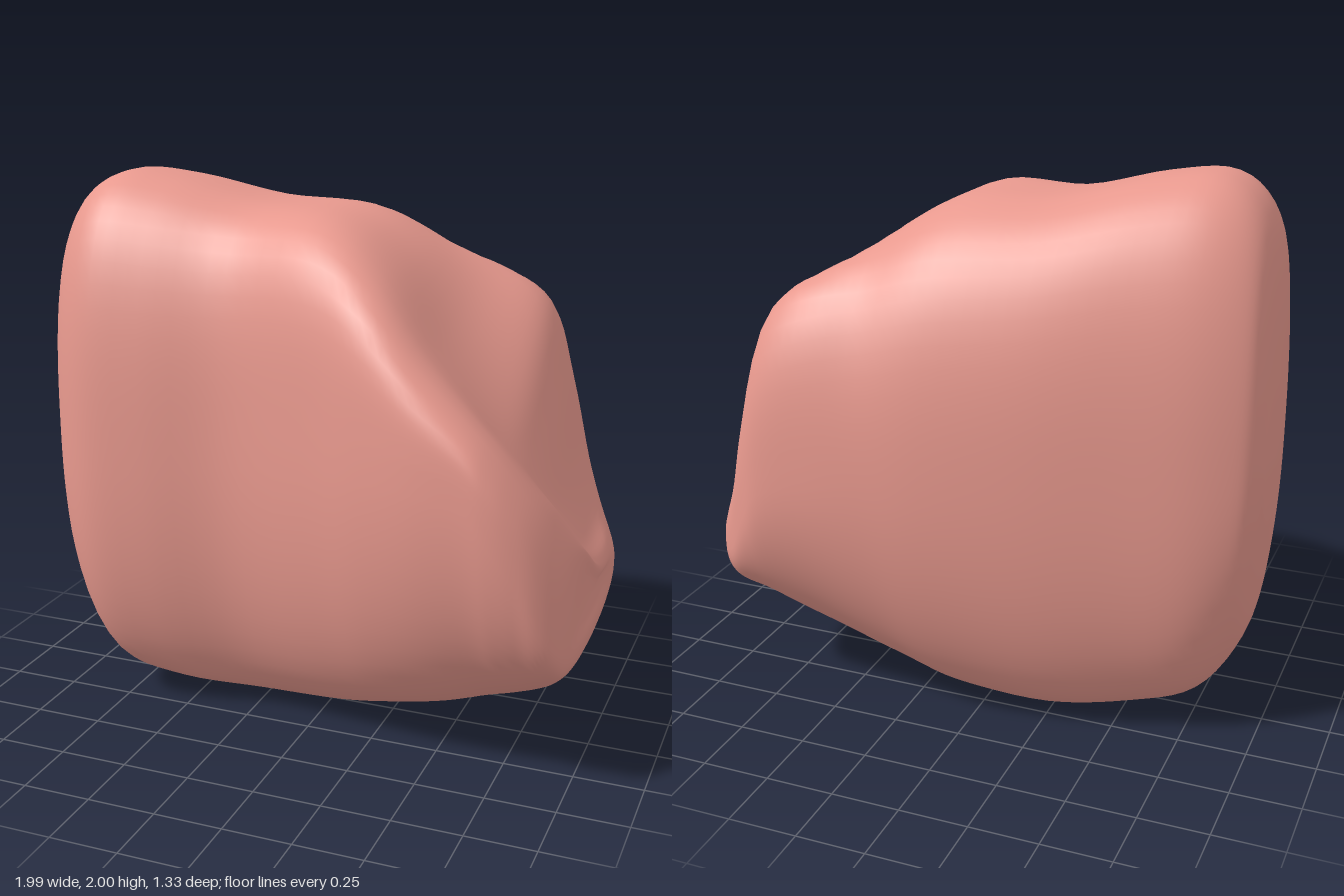
import * as THREE from 'three';

const { lerp, smoothstep } = THREE.MathUtils;

// Cross-sections along x:
// x, bottom, front crest, back crest, back z, front z, widest height, hollow depth, bottom squareness
const STATIONS = [
  [-0.995, 0.87, 1.25, 1.25, -0.20, 0.04, 1.05, 0.00, 2.2],
  [-0.965, 0.58, 1.64, 1.64, -0.27, 0.24, 1.08, 0.00, 2.3],
  [-0.91, 0.33, 1.88, 1.88, -0.32, 0.38, 1.08, 0.00, 2.4],
  [-0.77, 0.12, 2.00, 2.00, -0.39, 0.47, 1.08, 0.00, 2.5],
  [-0.55, 0.04, 1.99, 1.99, -0.46, 0.46, 1.08, 0.00, 2.4],
  [-0.25, 0.005, 1.92, 1.92, -0.55, 0.41, 1.10, 0.00, 2.3],
  [0.08, 0.025, 1.90, 1.90, -0.62, 0.49, 1.10, 0.00, 2.2],
  [0.30, 0.075, 1.77, 1.83, -0.645, 0.58, 1.10, 0.02, 2.1],
  [0.50, 0.13, 1.55, 1.75, -0.66, 0.645, 1.08, 0.11, 2.0],
  [0.68, 0.20, 1.37, 1.63, -0.66, 0.665, 1.03, 0.19, 2.0],
  [0.77, 0.24, 1.28, 1.37, -0.62, 0.66, 0.91, 0.20, 2.0],
  [0.85, 0.28, 1.18, 1.05, -0.56, 0.63, 0.77, 0.18, 2.0],
  [0.92, 0.33, 1.07, 0.83, -0.50, 0.58, 0.66, 0.13, 2.1],
  [0.975, 0.40, 0.94, 0.71, -0.41, 0.50, 0.59, 0.07, 2.2],
  [0.99, 0.47, 0.84, 0.65, -0.34, 0.37, 0.57, 0.03, 2.2],
  [0.983, 0.53, 0.70, 0.62, -0.16, 0.18, 0.58, 0.00, 2.0],
];
const RINGS = 75;
const SIDES = 72;

// One point of a section: egg-like outline whose top carries two crests with a hollow between
function sectionPoint(p, angle) {
  const [x, bottom, frontTop, backTop, back, front, widest, hollow, bottomPower] = p;
  const c = Math.cos(angle), n = Math.sin(angle);
  const frontPower = lerp(2.8, 4, smoothstep(x, -0.6, 0.1));
  const backPower = lerp(2.5, 3.2, smoothstep(x, 0.3, 0.6));
  const power = n < 0 ? bottomPower : c > 0 ? frontPower : backPower;
  const k = (Math.abs(c) ** power + Math.abs(n) ** power) ** (-1 / power);
  const s = c * k, v = Math.abs(n) * k;
  const z = (front + back) / 2 + s * (front - back) / 2;
  // The widest line climbs towards the front on the broad end
  const mid = widest + 0.13 * s * smoothstep(x, -0.6, 0.6) * (1 - smoothstep(x, 0.85, 1));
  if (n < 0) return [x, mid - v * (mid - bottom), z];
  const crest = lerp(backTop, frontTop, smoothstep(s, -0.65, 0.65));
  const dip = hollow * Math.max(0, 1 - (s / 0.8) ** 2) ** 1.5;
  return [x, mid + v * Math.max(0.02, crest - dip - mid), z];
}

// Smooth skin through the sections, closed by a pole at each end
function boulderGeometry() {
  const width = STATIONS[0].length;
  const curve = new THREE.CubicInterpolant(STATIONS.map((_, i) => i), STATIONS.flat(), width, new Float64Array(width));
  const positions = [], index = [];
  for (let i = 0; i <= RINGS; i++) {
    const p = Array.from(curve.evaluate((i / RINGS) * (STATIONS.length - 1)));
    for (let j = 0; j < SIDES; j++) positions.push(...sectionPoint(p, (j / SIDES) * Math.PI * 2));
  }
  for (let i = 0; i < RINGS; i++) {
    for (let j = 0; j < SIDES; j++) {
      const a = i * SIDES + j, b = i * SIDES + (j + 1) % SIDES;
      index.push(a, a + SIDES, b, b, a + SIDES, b + SIDES);
    }
  }
  const leftPole = positions.length / 3, rightPole = leftPole + 1, last = RINGS * SIDES;
  positions.push(-1, 1.05, -0.08, 0.98, 0.6, 0);
  for (let j = 0; j < SIDES; j++) {
    const k = (j + 1) % SIDES;
    index.push(leftPole, j, k, rightPole, last + k, last + j);
  }
  const geometry = new THREE.BufferGeometry();
  geometry.setAttribute('position', new THREE.Float32BufferAttribute(positions, 3));
  geometry.setIndex(index);
  geometry.computeVertexNormals();
  return geometry;
}

export function createModel() {
  const group = new THREE.Group();
  group.name = 'rock';
  const boulder = new THREE.Mesh(boulderGeometry(), new THREE.MeshStandardMaterial({ color: 0xe8998e }));
  boulder.name = 'boulder';
  group.add(boulder);
  return group;
}
